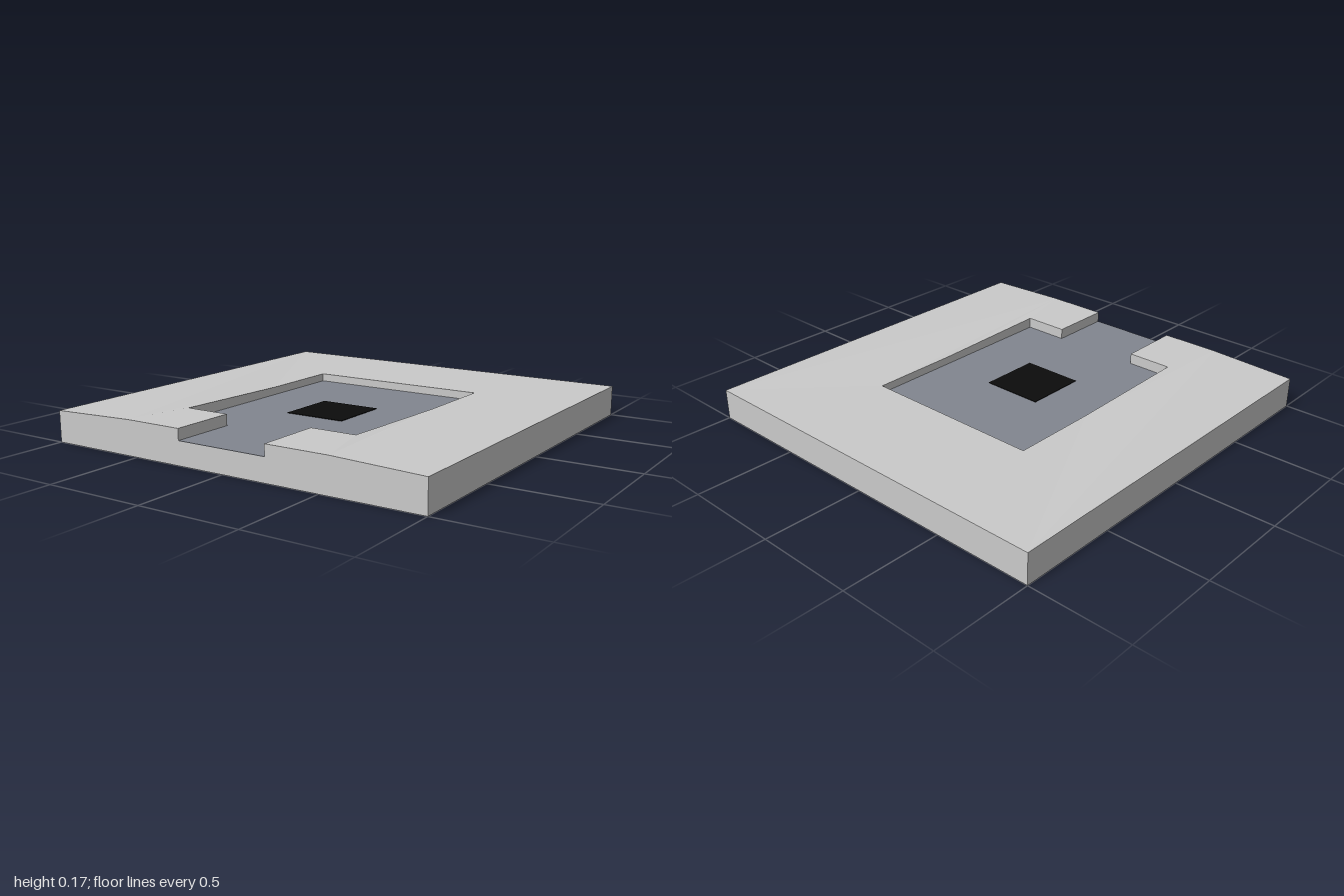
import * as THREE from 'three';

const stone = new THREE.MeshStandardMaterial({ color: 0xcacaca });
stone.name = 'light grey stone';
const slate = new THREE.MeshStandardMaterial({ color: 0x82868f });
slate.name = 'blue grey floor';
const black = new THREE.MeshStandardMaterial({ color: 0x0c0c0c });
black.name = 'black pad';

const RIM = 0.155, CROWN = 0.015, FLOOR = 0.115;

// Recess with its entrance channel, as [x, z] from front left round to front right
const recess = [
  [-0.245, 1], [-0.245, 0.67], [-0.48, 0.67], [-0.48, 0], [-0.48, -0.445],
  [0.465, -0.445], [0.465, 0], [0.465, 0.67], [0.23, 0.67], [0.23, 1],
];
// Outer edge, from front right round to front left
const outer = [
  [0.55, 1], [1, 1], [1, 0], [1, -1], [-1, -1], [-1, 0], [-1, 1], [-0.55, 1],
];

// Upright prism over a plan outline
function prism(points, y, height) {
  const shape = new THREE.Shape(points.map(([x, z]) => new THREE.Vector2(x, -z)));
  const g = new THREE.ExtrudeGeometry(shape, { depth: height, bevelEnabled: false });
  return g.rotateX(-Math.PI / 2).translate(0, y, 0);
}

// The rim swells slightly towards the front middle
function crown(g) {
  const p = g.attributes.position;
  for (let i = 0; i < p.count; i++) {
    if (p.getY(i) < RIM - 0.001) continue;
    const across = THREE.MathUtils.clamp((1 - Math.abs(p.getX(i))) / 0.45, 0, 1);
    const along = THREE.MathUtils.clamp(p.getZ(i) / 0.6, 0, 1);
    p.setY(i, RIM + CROWN * across * along);
  }
  g.computeVertexNormals();
  return g;
}

export function createModel() {
  const model = new THREE.Group();
  model.name = 'recessedPlatform';
  const add = (name, geometry, material) => {
    const mesh = new THREE.Mesh(geometry, material);
    mesh.name = name;
    model.add(mesh);
  };

  // Raised surround, open at the front
  add('surround', crown(prism([...recess, ...outer], 0, RIM)), stone);
  // Slab below the recess
  add('recessBase', prism(recess, 0, FLOOR - 0.002), stone);
  // Painted floor
  add('recessFloor', prism(recess, FLOOR - 0.002, 0.002), slate);
  // Square pad on the floor
  const pad = new THREE.BoxGeometry(0.315, 0.003, 0.315);
  add('centrePad', pad.translate(-0.008, FLOOR + 0.0015, 0.153), black);
  return model;
}
